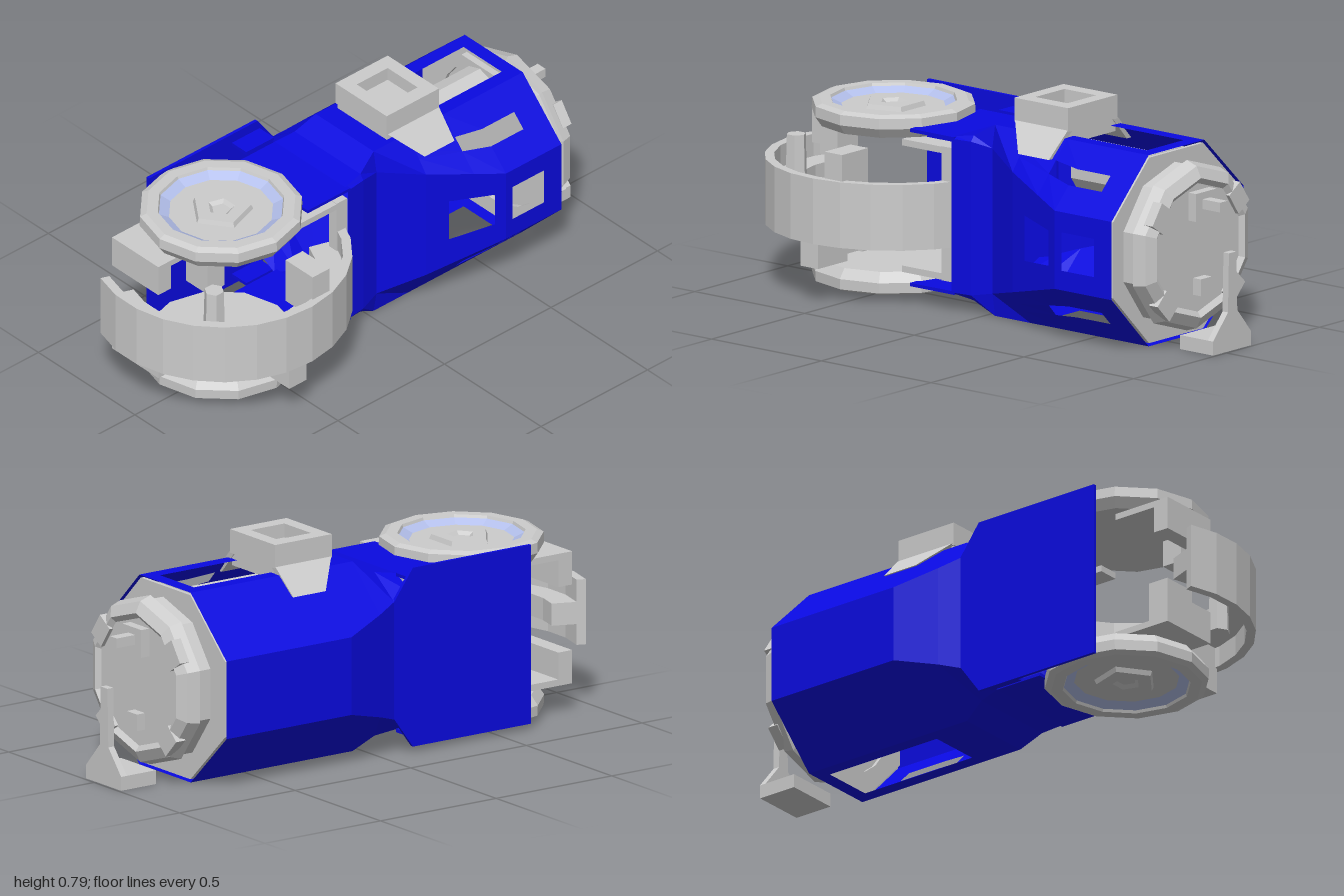
import * as THREE from 'three';

const grey = new THREE.MeshStandardMaterial({ color: 0xcccccc, flatShading: true, side: THREE.DoubleSide });
const blue = grey.clone(); blue.color.set(0x0a0ae0);
const pale = grey.clone(); pale.color.set(0xb4c0ec);
const MID = 0.342; // height of the long axis

export function createModel() {
  const model = new THREE.Group();
  const add = (name, geo, mat = grey, x = 0, y = 0, z = 0, parent = model) => {
    const m = new THREE.Mesh(geo, mat);
    m.name = name;
    m.position.set(x, y, z);
    parent.add(m);
    return m;
  };
  // box given by its limits
  const box = (name, x0, x1, y0, y1, z0, z1, mat = grey, parent = model) =>
    add(name, new THREE.BoxGeometry(x1 - x0, y1 - y0, z1 - z0), mat, (x0 + x1) / 2, (y0 + y1) / 2, (z0 + z1) / 2, parent);
  const v2 = pts => pts.map(p => new THREE.Vector2(...p));
  const lathe = (pts, n) => new THREE.LatheGeometry(v2(pts), n);
  const extrude = (shape, depth) => new THREE.ExtrudeGeometry(shape, { depth, bevelEnabled: false });

  // four-cornered panel with rectangular windows [u0, v0, u1, v1]
  const panel = (out, a, b, c, d, holes = []) => {
    const cuts = i => [...new Set([0, 1, ...holes.flatMap(h => [h[i], h[i + 2]])])].sort((p, q) => p - q);
    const us = cuts(0), vs = cuts(1);
    const at = (u, v) => a.clone().lerp(b, u).lerp(d.clone().lerp(c, u), v);
    for (let i = 0; i + 1 < us.length; i++) for (let j = 0; j + 1 < vs.length; j++) {
      const u = (us[i] + us[i + 1]) / 2, v = (vs[j] + vs[j + 1]) / 2;
      if (holes.some(h => u > h[0] && u < h[2] && v > h[1] && v < h[3])) continue;
      const p = at(us[i], vs[j]), q = at(us[i + 1], vs[j]), r = at(us[i + 1], vs[j + 1]), s = at(us[i], vs[j + 1]);
      for (const w of [p, q, r, p, r, s]) out.push(w.x, w.y, w.z);
    }
  };

  // eight-sided hollow shell: z, left x, right x, roof x range, side half heights, roof half height
  const sections = [
    [-0.73, -0.41, 0.3, -0.2, 0.1, 0.14, 0.14, 0.342],
    [-0.47, -0.41, 0.3, -0.2, 0.1, 0.14, 0.14, 0.342],
    [-0.19, -0.41, 0.195, -0.2, 0.1, 0.14, 0.215, 0.342],
    [-0.03, -0.362, 0.115, -0.2, 0.1, 0.185, 0.26, 0.342],
    [0.05, -0.335, 0.135, -0.22, 0.12, 0.212, 0.275, 0.295],
    [0.13, -0.335, 0.145, -0.235, 0.13, 0.23, 0.275, 0.282],
  ].map(([z, xl, xr, tl, tr, sl, sr, h]) => [
    [xr, -sr], [xr, sr], [tr, h], [tl, h], [xl, sl], [xl, -sl], [tl, -h], [tr, -h],
  ].map(([x, y]) => new THREE.Vector3(x, MID + y, z)));
  const windows = {
    '0,0': [[0.31, 0.25, 0.88, 0.74]], '1,0': [[0.14, 0.28, 0.71, 0.7]],
    '0,1': [[0.42, 0.38, 1, 0.62]], '1,1': [[0, 0.38, 0.4, 0.62]],
    '0,7': [[0.42, 0.38, 1, 0.62]], '1,7': [[0, 0.38, 0.4, 0.62]],
    '0,2': [[0.2, 0.17, 1, 0.83]], '1,2': [[0, 0.17, 0.95, 0.83]],
    '0,6': [[0.2, 0.17, 1, 0.83]], '1,6': [[0, 0.17, 0.95, 0.83]],
  };
  const tris = [];
  for (let s = 0; s + 1 < sections.length; s++) for (let k = 0; k < 8; k++) {
    const A = sections[s], B = sections[s + 1], n = (k + 1) % 8;
    panel(tris, A[k], B[k], B[n], A[n], windows[`${s},${k}`]);
  }
  const shell = new THREE.BufferGeometry();
  shell.setAttribute('position', new THREE.Float32BufferAttribute(tris, 3));
  shell.computeVertexNormals();
  add('bodyShell', shell, blue);

  // side plate beside the joint, with its rear corners cut off
  const plate = new THREE.Shape(v2([[0.05, 0.13], [0.05, 0.555], [0.13, 0.665], [0.64, 0.665], [0.64, 0.02], [0.13, 0.02]]));
  add('sidePlate', extrude(plate, 0.012).rotateY(-Math.PI / 2), blue, -0.325);

  // mirrored upper and lower parts of the front joint
  for (const side of [1, -1]) {
    const half = new THREE.Group();
    half.name = side > 0 ? 'upperJoint' : 'lowerJoint';
    half.position.y = MID;
    half.scale.y = side;
    model.add(half);
    const cover = lathe([[0, 0.24], [0.265, 0.24], [0.29, 0.275], [0.288, 0.312], [0.265, 0.322], [0.225, 0.322], [0.22, 0.31]], 12);
    add('jointCover', cover, grey, -0.045, 0, 0.555, half);
    add('coverRing', lathe([[0.225, 0.314], [0.185, 0.295]], 12), pale, -0.045, 0, 0.555, half);
    add('coverFloor', lathe([[0.187, 0.295], [0, 0.295]], 12), grey, -0.045, 0, 0.555, half);
    add('hubCap', lathe([[0.115, 0.29], [0.105, 0.312], [0.05, 0.312], [0.035, 0.3], [0, 0.3]], 5), grey, -0.045, 0, 0.555, half);
    box('neckTongue', -0.235, 0.145, 0.27, 0.282, 0.12, 0.32, blue, half);
    box('neckSideStrip', -0.335, -0.25, 0.275, 0.287, 0.12, 0.25, blue, half);
    box('coverBracket', -0.24, 0.0, 0.118, 0.238, 0.83, 0.89, grey, half);
    box('bracketRail', -0.24, 0.0, 0.215, 0.238, 0.66, 0.83, grey, half);
    box('coverBlock', 0.0, 0.11, 0.118, 0.238, 0.68, 0.76, grey, half);
    box('rearPost', 0.1, 0.14, 0.0, 0.24, 0.13, 0.18, grey, half);
    box('rearRail', 0.06, 0.14, 0.215, 0.238, 0.13, 0.36, grey, half);
  }

  // half-round guard band with an inner web
  const arc = (r0, r1, y0, y1, name) => {
    const pts = [], n = 13, from = -1.26, to = 1.95;
    for (const [r, outer] of [[r1, true], [r0, false]]) for (let i = 0; i <= n; i++) {
      const t = from + (to - from) * (outer ? i : n - i) / n;
      pts.push([r * Math.cos(t), r * Math.sin(t)]);
    }
    add(name, extrude(new THREE.Shape(v2(pts)), y1 - y0).rotateX(Math.PI / 2), grey, -0.043, y1, 0.55);
  };
  arc(0.42, 0.453, 0.225, 0.46, 'guardBand');
  arc(0.33, 0.43, 0.3, 0.38, 'guardWeb');
  box('upperGrip', 0.24, 0.38, 0.38, 0.555, 0.43, 0.51);
  box('lowerGrip', 0.22, 0.38, 0.13, 0.3, 0.54, 0.62);
  add('guardStud', new THREE.CylinderGeometry(0.035, 0.04, 0.18, 6), grey, 0.19, 0.45, 0.8);
  add('guardStud', new THREE.CylinderGeometry(0.035, 0.04, 0.14, 6), grey, 0.06, 0.24, 0.88);

  // sight housing on the roof, hollow at the top
  const frame = (x0, x1, z0, z1) => v2([[x0, z0], [x1, z0], [x1, z1], [x0, z1]]);
  const rim = new THREE.Shape(frame(-0.18, 0.085, -0.35, -0.105));
  rim.holes.push(new THREE.Path(frame(-0.125, 0.03, -0.3, -0.155)));
  add('sightHousing', extrude(rim, 0.085).rotateX(Math.PI / 2), grey, 0, 0.79, 0);
  box('sightBase', -0.175, 0.08, 0.66, 0.74, -0.345, -0.11);
  // wings: tapered plates leaning outwards towards the bottom
  const wing = new THREE.Shape(v2([[-0.35, 0.71], [-0.11, 0.71], [-0.2, 0.62], [-0.34, 0.62]]));
  for (const s of [1, -1]) {
    const g = extrude(wing, 0.03).rotateY(-Math.PI / 2);
    const p = g.attributes.position;
    for (let i = 0; i < p.count; i++) p.setX(i, p.getX(i) + 0.015 + s * (0.12 + 0.71 - p.getY(i)));
    add('sightWing', g, grey, -0.048);
  }

  // inner barrel and rear frame closing the shell around the cap
  const barrel = add('innerBarrel', new THREE.CylinderGeometry(0.095, 0.095, 0.34, 10), grey, -0.045, 0.56, -0.5);
  barrel.rotation.x = Math.PI / 2;
  box('barrelStop', -0.14, 0.05, 0.6, 0.665, -0.685, -0.66);
  const rearFrame = new THREE.Shape(v2(sections[0].map(p => [-0.055 + (p.x + 0.055) * 0.97, MID + (p.y - MID) * 0.97])));
  rearFrame.holes.push(new THREE.Path().absarc(-0.04, 0.345, 0.27, 0, Math.PI * 2, true));
  add('rearFrame', extrude(rearFrame, 0.015), grey, 0, 0, -0.728);

  // rear cap
  const cap = add('rearCap', lathe([[0, 0], [0.29, 0], [0.29, 0.05], [0.305, 0.055], [0.29, 0.1], [0.25, 0.12], [0.23, 0.105], [0, 0.105]], 10), grey, -0.04, 0.345, -0.73);
  cap.rotation.x = -Math.PI / 2;
  box('rearPeg', -0.065, -0.025, 0.49, 0.525, -0.95, -0.82);
  box('rearPegMount', -0.1, 0.01, 0.45, 0.55, -0.87, -0.82);
  for (const a of [0.6, 2.54, 3.9, 5.5]) {
    const lug = add('rearLug', new THREE.BoxGeometry(0.07, 0.09, 0.04), grey, -0.04 + 0.25 * Math.cos(a), 0.345 + 0.25 * Math.sin(a), -0.83);
    lug.rotation.z = a;
  }

  // flared rear lever with its foot
  const lever = new THREE.Shape(v2([[-0.145, 0.0], [0.06, 0.0], [0.06, 0.05], [-0.02, 0.14], [-0.025, 0.35], [-0.065, 0.35], [-0.07, 0.14], [-0.145, 0.05]]));
  add('rearLever', extrude(lever, 0.025), grey, 0, 0, -0.99);
  box('leverFoot', -0.145, 0.06, 0.0, 0.05, -0.97, -0.84);
  box('leverPivot', -0.075, -0.015, 0.18, 0.24, -0.87, -0.82);
  return model;
}
